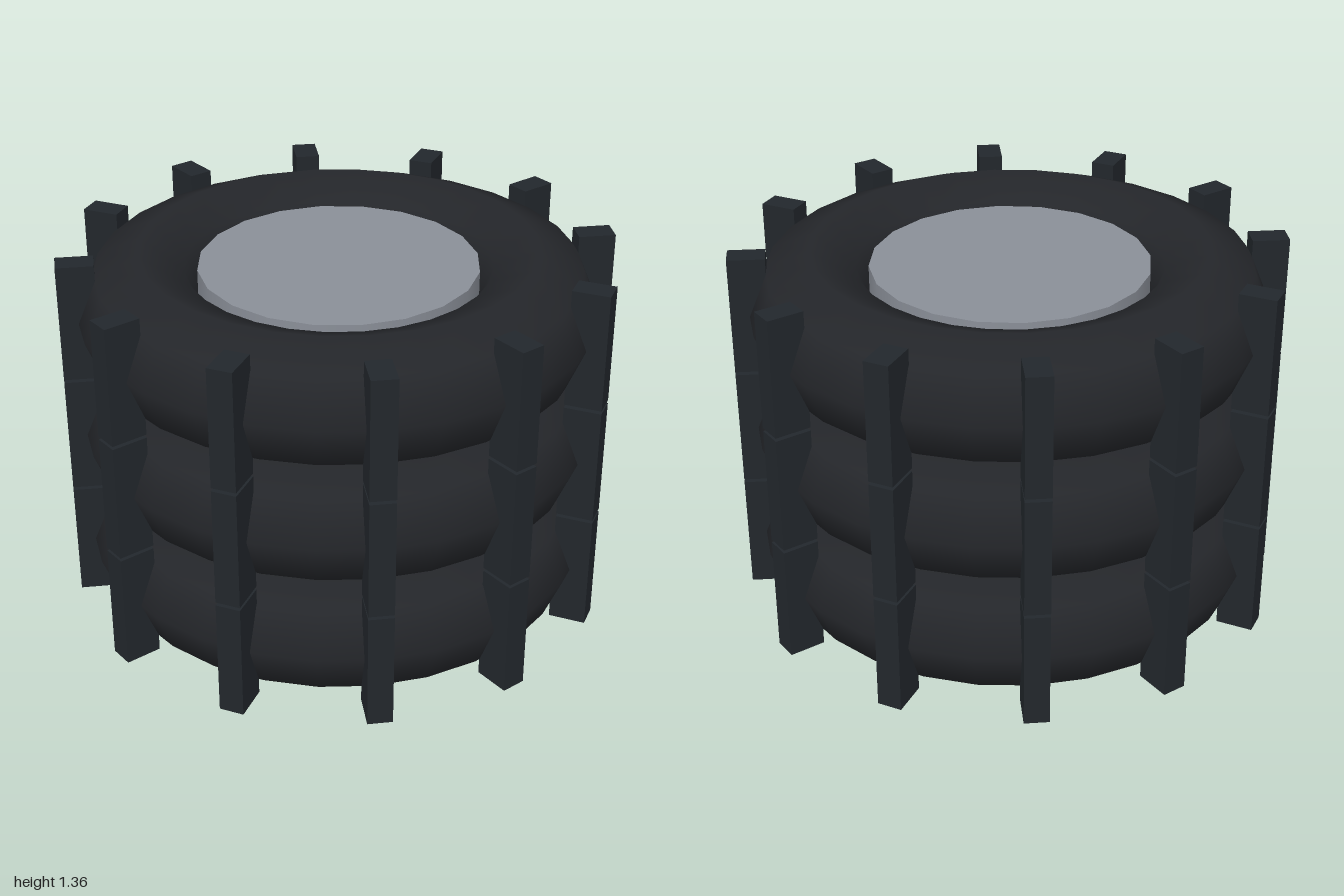
import * as THREE from 'three';

const PITCH = 0.452;      // height of one wheel in the stack
const TREADS = 12;

export function createModel() {
  const model = new THREE.Group();
  model.name = 'wheelStack';

  const rubber = new THREE.MeshStandardMaterial({ color: 0x24262a });
  const treadRubber = new THREE.MeshStandardMaterial({ color: 0x22272c });
  const metal = new THREE.MeshStandardMaterial({ color: 0x8a8f98 });

  // Shared shapes, all with the wheel axis along y
  const tireGeometry = new THREE.TorusGeometry(0.711, 0.226, 8, 28).rotateX(-Math.PI / 2);
  const hubGeometry = new THREE.CylinderGeometry(0.505, 0.505, 0.32, 20);
  const treadGeometry = new THREE.BoxGeometry(0.09, 0.44, 0.135).translate(0, 0, 0.9325);

  function addPart(parent, name, geometry, material) {
    const mesh = new THREE.Mesh(geometry, material);
    mesh.name = name;
    parent.add(mesh);
    return mesh;
  }

  // Three identical wheels lying flat on top of each other
  for (let i = 0; i < 3; i++) {
    const wheel = new THREE.Group();
    wheel.name = `wheel${i + 1}`;
    wheel.position.y = PITCH * (i + 0.5);
    addPart(wheel, 'tire', tireGeometry, rubber);
    addPart(wheel, 'hub', hubGeometry, metal);

    // Tread blocks around the rim
    for (let t = 0; t < TREADS; t++) {
      const tread = addPart(wheel, 'treadBlock', treadGeometry, treadRubber);
      tread.rotation.y = (t / TREADS) * Math.PI * 2;
    }
    model.add(wheel);
  }
  return model;
}
